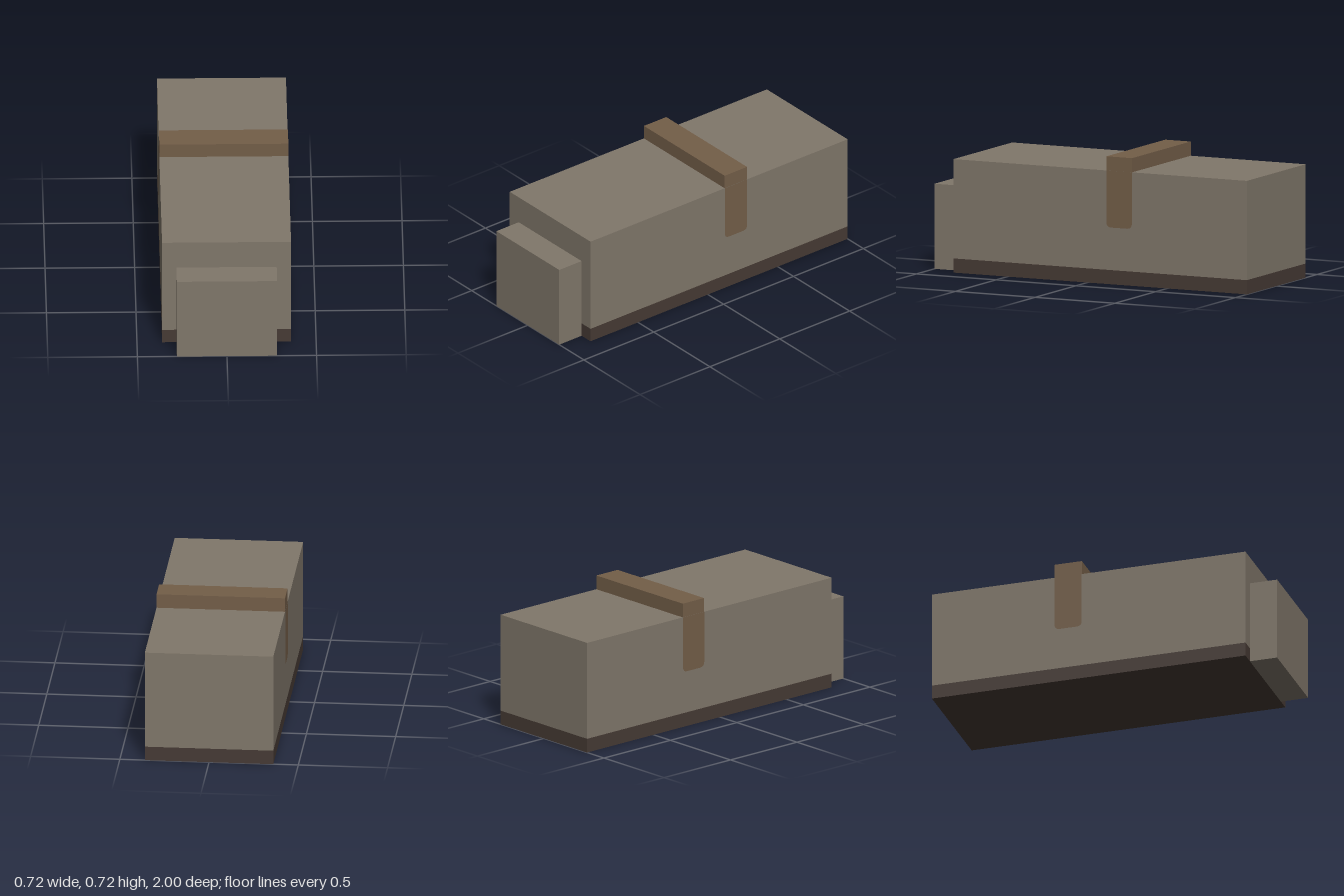
import * as THREE from 'three';

const material = (name, color) => {
  const m = new THREE.MeshStandardMaterial({ color });
  m.name = name;
  return m;
};

export function createModel() {
  const group = new THREE.Group();
  const stone = material('warm grey', 0x80776a);
  const dark = material('dark brown', 0x463a34);
  const brown = material('strap brown', 0x735e48);

  const add = (name, geometry, mat, x, y, z) => {
    const mesh = new THREE.Mesh(geometry, mat);
    mesh.name = name;
    mesh.position.set(x, y, z);
    group.add(mesh);
    return mesh;
  };
  // Box given by its width and its y and z ranges
  const box = (name, mat, w, y0, y1, z0, z1) =>
    add(name, new THREE.BoxGeometry(w, y1 - y0, z1 - z0), mat, 0, (y0 + y1) / 2, (z0 + z1) / 2);

  // Long body over a dark base band, with a smaller block at the front
  box('base', dark, 0.72, 0, 0.08, -1, 0.84);
  box('body', stone, 0.72, 0.08, 0.64, -1, 0.84);
  box('frontBlock', stone, 0.56, 0, 0.48, 0.84, 1);

  // Raised strap across the top
  box('strapTop', brown, 0.72, 0.64, 0.72, -0.28, -0.12);

  // Flush strap ends on both sides, rounded at their lower corners
  const r = 0.03;
  const end = new THREE.Shape();
  end.moveTo(-0.08, 0.64);
  end.lineTo(-0.08, 0.32 + r);
  end.quadraticCurveTo(-0.08, 0.32, -0.08 + r, 0.32);
  end.lineTo(0.08 - r, 0.32);
  end.quadraticCurveTo(0.08, 0.32, 0.08, 0.32 + r);
  end.lineTo(0.08, 0.64);
  const endGeometry = new THREE.ShapeGeometry(end, 4);
  for (const side of [-1, 1]) {
    const mesh = add(side > 0 ? 'leftStrapEnd' : 'rightStrapEnd', endGeometry, brown, side * 0.3615, 0, -0.2);
    mesh.rotation.y = side * Math.PI / 2;
  }

  return group;
}
